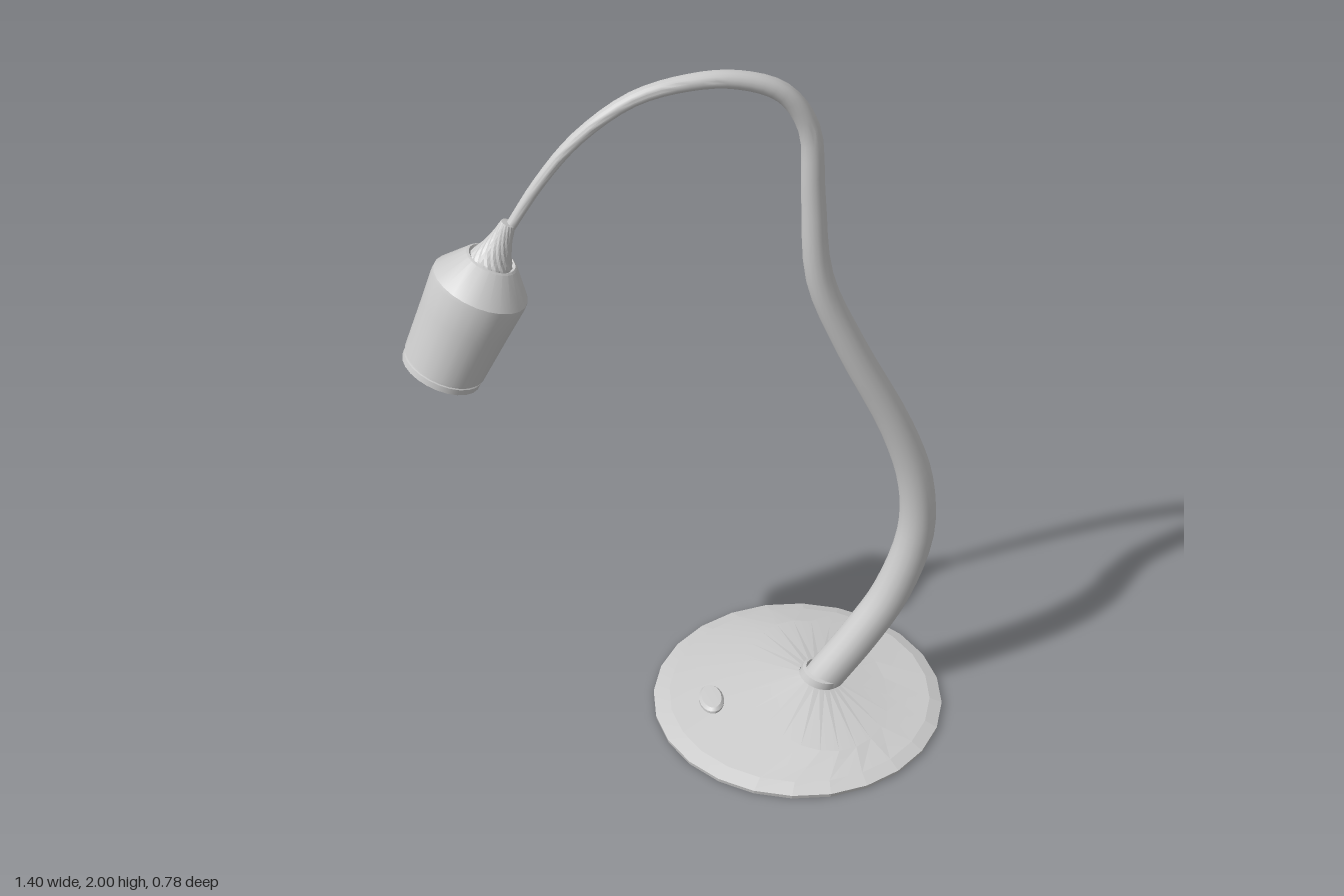
import * as THREE from 'three';
import { toCreasedNormals } from 'three/addons/utils/BufferGeometryUtils.js';

const grey = new THREE.MeshStandardMaterial({ color: 0xcccccc, side: THREE.DoubleSide });

function addMesh(parent, name, geometry, crease) {
  const mesh = new THREE.Mesh(toCreasedNormals(geometry, crease), grey);
  mesh.name = name;
  parent.add(mesh);
  return mesh;
}

// Skin through elliptical rings { c: centre, u: half-axis in the xy plane, rz: half-axis along z }
function loft(rings, sides) {
  const pos = [], index = [];
  rings.forEach(({ c, u, rz }, i) => {
    for (let j = 0; j < sides; j++) {
      const a = (j / sides) * Math.PI * 2;
      pos.push(c.x + u.x * Math.cos(a), c.y + u.y * Math.cos(a), -rz * Math.sin(a));
      if (i === rings.length - 1) continue;
      const k = (j + 1) % sides, p = i * sides, q = p + sides;
      index.push(p + j, p + k, q + k, p + j, q + k, q + j);
    }
  });
  const g = new THREE.BufferGeometry();
  g.setAttribute('position', new THREE.Float32BufferAttribute(pos, 3));
  g.setIndex(index);
  return g;
}

// Ring lying nearly flat, dropping by "tilt" per unit of x
const flatRing = (x, y, rx, rz, tilt = 0) => ({
  c: new THREE.Vector2(x, y), u: new THREE.Vector2(rx, -rx * tilt), rz,
});

const lathe = (points, sides) =>
  new THREE.LatheGeometry(points.map(([r, y]) => new THREE.Vector2(r, y)), sides);

export function createModel() {
  const lamp = new THREE.Group();
  lamp.name = 'deskLamp';

  // Base: open shell whose rings shift towards the neck
  addMesh(lamp, 'base', loft([
    flatRing(0.31, 0, 0.388, 0.388),
    flatRing(0.31, 0.011, 0.39, 0.39),
    flatRing(0.315, 0.024, 0.352, 0.352),
    flatRing(0.36, 0.046, 0.19, 0.27, 0.05),
    flatRing(0.37, 0.074, 0.055, 0.058, 0.25),
  ], 24), 0.08);

  // Collar where the neck meets the base
  addMesh(lamp, 'collar', loft([
    flatRing(0.365, 0.06, 0.055, 0.056, 0.28),
    flatRing(0.377, 0.092, 0.053, 0.056, 0.28),
    flatRing(0.378, 0.096, 0.044, 0.046, 0.28),
  ], 20), 0.45);

  // Switch button
  addMesh(lamp, 'switchButton', loft([
    flatRing(0.072, 0.015, 0, 0),
    flatRing(0.072, 0.015, 0.033, 0.054, -0.1),
    flatRing(0.072, 0.046, 0.033, 0.054, -0.1),
    flatRing(0.072, 0.054, 0.026, 0.046, -0.1),
    flatRing(0.072, 0.055, 0, 0),
  ], 20), 0.5);

  // Tapering gooseneck: [x, y, radius]
  const neck = [
    [0.355, 0.035, 0.05], [0.39, 0.085, 0.052], [0.48, 0.21, 0.052], [0.56, 0.345, 0.051],
    [0.617, 0.535, 0.049], [0.61, 0.705, 0.047], [0.554, 0.885, 0.043], [0.42, 1.17, 0.039],
    [0.337, 1.385, 0.035], [0.315, 1.635, 0.03], [0.3, 1.82, 0.027], [0.235, 1.925, 0.025],
    [0.125, 1.973, 0.023], [0.01, 1.979, 0.021], [-0.125, 1.95, 0.019], [-0.257, 1.86, 0.017],
    [-0.35, 1.75, 0.015], [-0.435, 1.615, 0.013],
  ];
  const curve = new THREE.CatmullRomCurve3(neck.map(([x, y]) => new THREE.Vector3(x, y, 0)));
  const rings = [];
  const steps = 68;
  for (let i = 0; i <= steps; i++) {
    const t = i / steps, f = t * (neck.length - 1);
    const k = Math.min(Math.floor(f), neck.length - 2);
    const r = THREE.MathUtils.lerp(neck[k][2], neck[k + 1][2], f - k);
    const p = curve.getPoint(t), d = curve.getTangent(t);
    rings.push({ c: p, u: new THREE.Vector2(d.y * r, -d.x * r), rz: r });
  }
  const cap = (ring) => ({ c: ring.c, u: new THREE.Vector2(), rz: 0 });
  addMesh(lamp, 'gooseneck', loft([cap(rings[0]), ...rings, cap(rings[steps])], 16), 0.6);

  // Head, tilted so that it hangs from the end of the neck
  const head = new THREE.Group();
  head.name = 'head';
  head.position.set(-0.607, 1.24, 0);
  head.rotation.z = -0.417;
  lamp.add(head);

  // Shade with a rim groove, a fine seam and a sloping shoulder
  addMesh(head, 'shade', lathe([
    [0.092, 0.035], [0.094, 0], [0.102, 0], [0.103, 0.016], [0.1, 0.018], [0.1, 0.023],
    [0.105, 0.025], [0.116, 0.17], [0.123, 0.252], [0.122, 0.262], [0.066, 0.334],
    [0.06, 0.337], [0.052, 0.33], [0, 0.33],
  ], 24), 0.45);

  // Lamp face recessed in the shade
  addMesh(head, 'lampFace', lathe([[0, 0.022], [0.05, 0.024], [0.093, 0.032]], 24), 0.45);

  // Knurled cable grip between shade and neck
  const grip = lathe([
    [0.056, 0.325], [0.052, 0.337], [0.045, 0.35], [0.039, 0.364], [0.033, 0.38],
    [0.028, 0.396], [0.024, 0.412], [0.021, 0.428], [0.018, 0.442], [0, 0.444],
  ], 32);
  const p = grip.attributes.position;
  for (let i = 0; i < p.count; i++) {
    const s = (Math.floor(i / 10) + (i % 10)) % 2 ? 1.02 : 0.97;
    p.setX(i, p.getX(i) * s);
    p.setZ(i, p.getZ(i) * s);
  }
  addMesh(head, 'cableGrip', grip, 0.05);

  return lamp;
}
